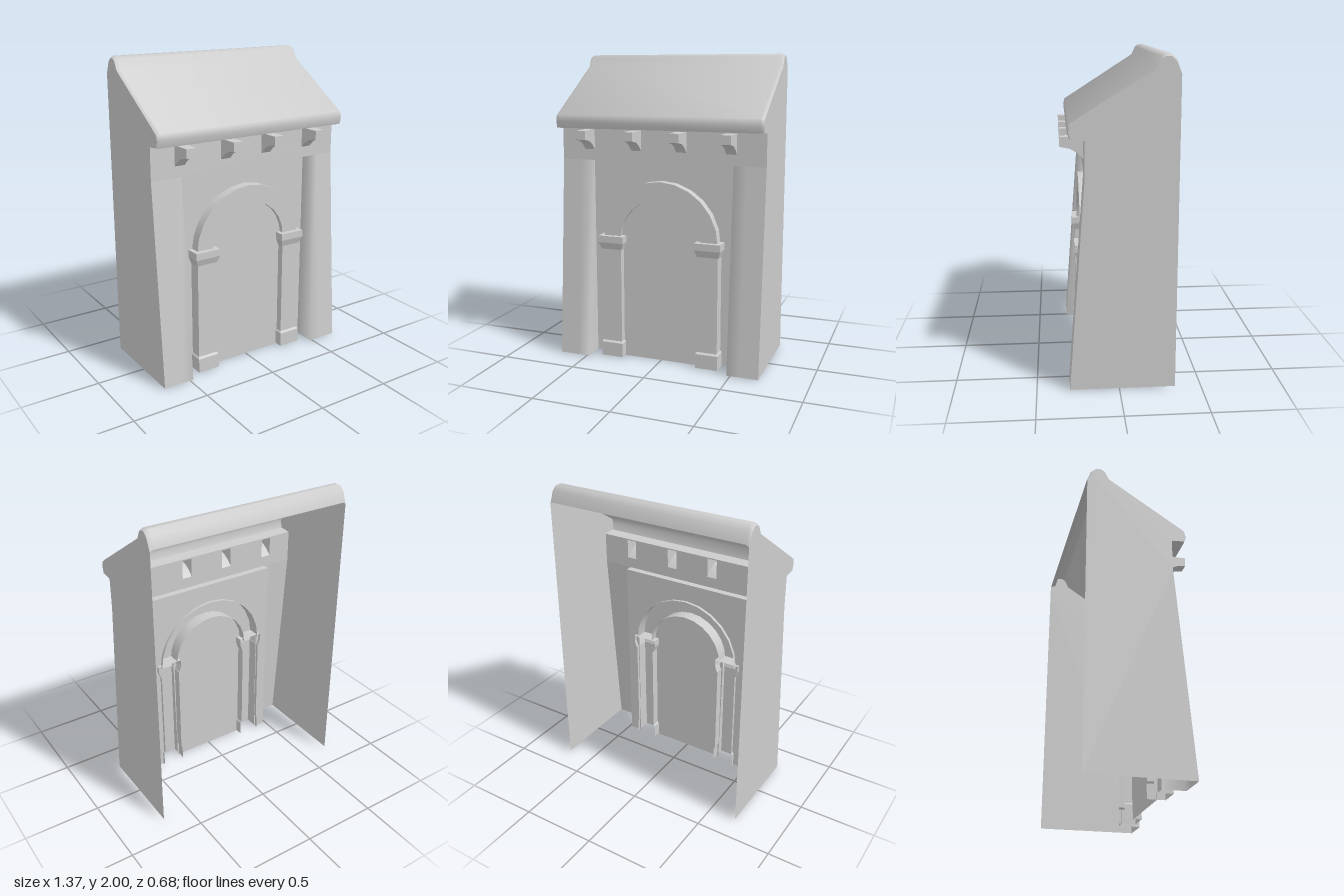
import * as THREE from 'three';
import { toCreasedNormals } from 'three/addons/utils/BufferGeometryUtils.js';

const stone = new THREE.MeshStandardMaterial({ color: 0xcccccc, side: THREE.DoubleSide });
stone.name = 'stone';

const HALF = 0.685;   // half width of the building
const BACK = -0.34;   // open back edge
const PANEL = 0.155;  // depth of the recessed panel
const DOOR = 0.19;    // depth of the door
const REVEAL = 0.135; // back edge of the hollow arch and columns
const FLOOR = 0.006;
const RECESS_TOP = 1.32;
const WALL_TOP = 1.52;

// Skin between successive cross-sections (arrays of [x, y, z])
function loft(sections, crease = 0.6) {
  const pos = [];
  for (let i = 0; i < sections.length - 1; i++) {
    for (let j = 0; j < sections[i].length - 1; j++) {
      const a = sections[i][j], b = sections[i][j + 1];
      const c = sections[i + 1][j + 1], d = sections[i + 1][j];
      pos.push(...a, ...b, ...c, ...a, ...c, ...d);
    }
  }
  const geo = new THREE.BufferGeometry();
  geo.setAttribute('position', new THREE.Float32BufferAttribute(pos, 3));
  return toCreasedNormals(geo, crease);
}

const toShape = (pts) => new THREE.Shape(pts.map(([x, y]) => new THREE.Vector2(x, y)));

// Points of a half circle from left to right
function arc(radius, steps = 12) {
  return Array.from({ length: steps + 1 }, (_, i) => {
    const a = Math.PI * (1 - i / steps);
    return [radius * Math.cos(a), 0.81 + radius * Math.sin(a)];
  });
}

export function createModel() {
  const model = new THREE.Group();
  model.name = 'gatehouse';
  const add = (name, geo, x = 0, y = 0, z = 0) => {
    const mesh = new THREE.Mesh(geo, stone);
    mesh.name = name;
    mesh.position.set(x, y, z);
    model.add(mesh);
  };

  // Roof profile as [z, y], and the smaller one that rounds its ends
  const roof = [[0.2, 1.525], [0.283, 1.53], [0.298, 1.575], [0.29, 1.615], [-0.2, 1.93],
    [-0.225, 1.985], [-0.25, 2], [-0.285, 2], [-0.315, 1.97], [BACK, 1.9]];
  const roofEnd = [[0.2, 1.525], [0.28, 1.532], [0.29, 1.575], [0.282, 1.608], [-0.202, 1.92],
    [-0.23, 1.975], [-0.252, 1.988], [-0.282, 1.988], [-0.31, 1.962], [BACK, 1.89]];
  const across = (profile, x) => profile.map(([z, y]) => [x, y, z]);
  add('roof', loft([across(roofEnd, HALF), across(roof, HALF - 0.02),
    across(roof, -HALF + 0.02), across(roofEnd, -HALF)], 0.9));
  add('ridgeLip', loft([across([[BACK, 1.9], [-0.31, 1.9]], HALF - 0.02),
    across([[BACK, 1.9], [-0.31, 1.9]], -HALF + 0.02)]));

  // Side walls with gables, and leaning piers
  const side = [[BACK, FLOOR], [0.3, FLOOR], [0.2, RECESS_TOP], ...roofEnd];
  for (const s of [-1, 1]) {
    const label = s > 0 ? 'left' : 'right';
    const wall = new THREE.ShapeGeometry(toShape(side.map(([z, y]) => [-s * z, y])));
    wall.rotateY(s * Math.PI / 2);
    add(label + 'SideWall', wall, s * HALF);

    // The inner corner is softly shaded, the outer strip is flat
    const pier = [[FLOOR, 0.3], [RECESS_TOP, 0.2]].map(([y, z]) => {
      const row = [[s * 0.48, y, PANEL], [s * 0.48, y, z], [s * 0.56, y, z], [s * HALF, y, z]];
      return s > 0 ? row : row.reverse();
    });
    add(label + 'Pier', loft(pier, 1.7));
  }

  // Wall above the recess, with openings behind the brackets
  const bracketX = [-0.49, -0.165, 0.14, 0.465];
  const w = 0.034;
  const upper = toShape([[-HALF, RECESS_TOP], [HALF, RECESS_TOP], [HALF, WALL_TOP + 0.005],
    [-HALF, WALL_TOP + 0.005]]);
  for (const x of bracketX) {
    upper.holes.push(new THREE.Path([[x - w, 1.39], [x - w, 1.517], [x + w, 1.517], [x + w, 1.39]]
      .map(([px, py]) => new THREE.Vector2(px, py))));
  }
  add('upperWall', new THREE.ShapeGeometry(upper), 0, 0, 0.2);
  add('recessSoffit', loft([[[-0.48, RECESS_TOP, PANEL], [0.48, RECESS_TOP, PANEL]],
    [[-0.48, RECESS_TOP, 0.2], [0.48, RECESS_TOP, 0.2]]]));

  // Hollow brackets under the eave
  const bracket = [[0.2, 1.39], [0.235, 1.425], [0.28, 1.45], [0.34, 1.462]].map(([z, y]) =>
    [[-w, 1.519, z], [-w, y, z], [w, y, z], [w, 1.519, z], [-w, 1.519, z]]);
  bracket.push(bracket[3].map(() => [0, 1.49, 0.34]));
  for (const x of bracketX) add('bracket', loft(bracket, 0.3), x);

  // Recessed panel around the arch, and the door filling
  add('recessPanel', new THREE.ShapeGeometry(toShape([[-0.48, FLOOR], [-0.395, FLOOR], ...arc(0.39),
    [0.395, FLOOR], [0.48, FLOOR], [0.48, RECESS_TOP], [-0.48, RECESS_TOP]])), 0, 0, PANEL);
  add('door', new THREE.ShapeGeometry(toShape([[-0.265, 0], ...arc(0.275), [0.265, 0]])),
    0, 0, DOOR);

  // Arch moulding, open at the back
  const outer = arc(0.39), inner = arc(0.275);
  add('arch', loft(outer.map((p, i) =>
    [[...p, REVEAL], [...p, 0.22], [...inner[i], 0.22], [...inner[i], REVEAL]])));

  // Columns with base and capital: [y, half width, front z]
  const column = [[FLOOR, 0.075, 0.25], [0.1, 0.075, 0.25], [0.11, 0.066, 0.235], [0.74, 0.066, 0.235],
    [0.74, 0.07, 0.238], [0.785, 0.086, 0.255], [0.83, 0.086, 0.255], [0.83, 0.086, REVEAL]]
    .map(([y, h, z]) => [[-h, y, REVEAL], [-h, y, z], [h, y, z], [h, y, REVEAL]]);
  add('rightColumn', loft(column, 0.3), -0.33);
  add('leftColumn', loft(column, 0.3), 0.33);

  return model;
}
